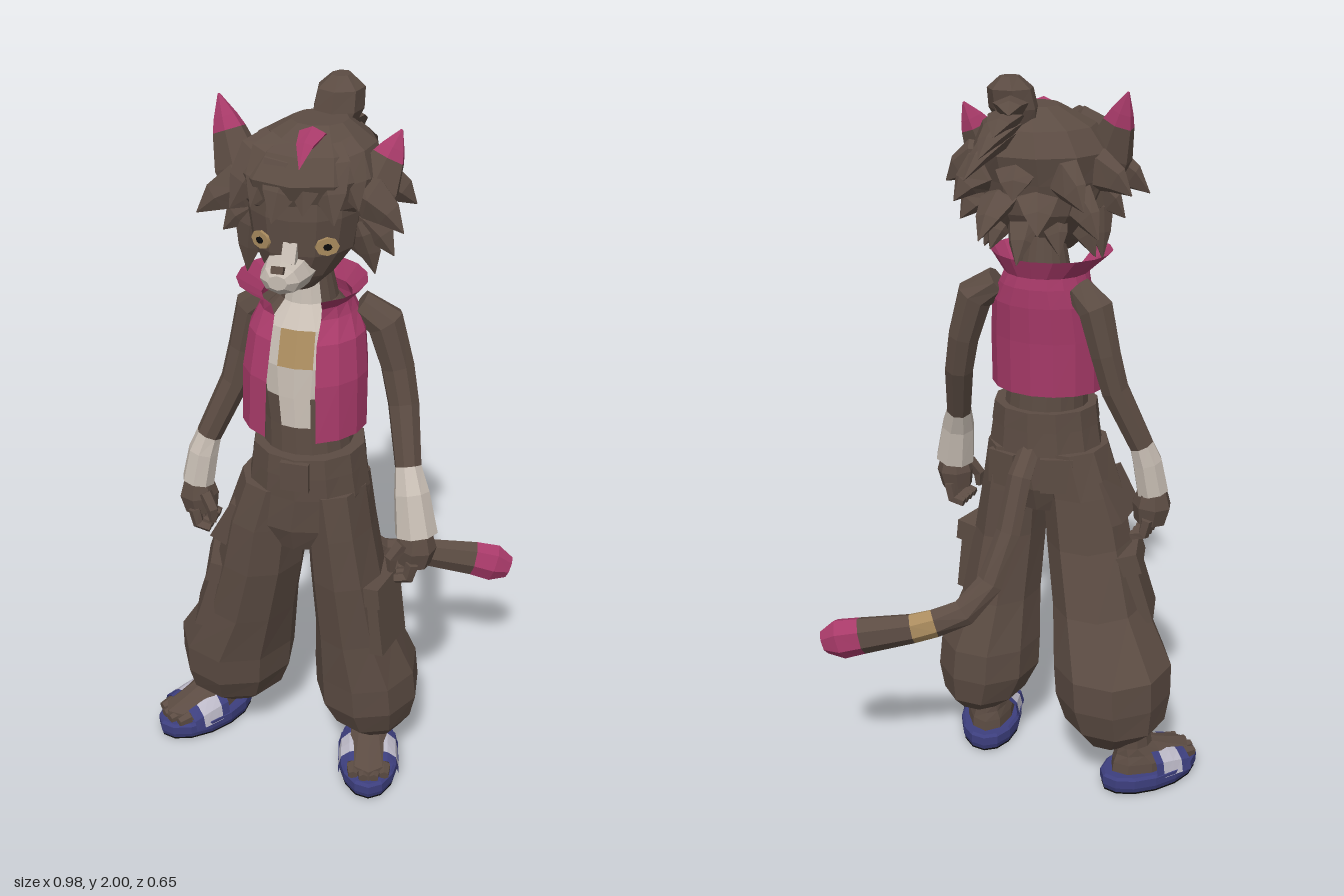
import * as THREE from 'three';

const V = (p) => new THREE.Vector3(...p);
function material(name, color, side = THREE.FrontSide) {
  const m = new THREE.MeshStandardMaterial({ color, side });
  m.name = name;
  return m;
}
const fur = material('brown', 0x5c4c43), cream = material('cream', 0xc6bcb2);
const gold = material('gold', 0xa98b5e), black = material('black', 0x0c0b0b);
const pink = material('pink', 0xa83a69, THREE.DoubleSide);
const blue = material('blue', 0x3d3f7e, THREE.DoubleSide);
const pale = material('pale', 0xbdbac8, THREE.DoubleSide);

function assembly(name, ...parts) {
  const g = new THREE.Group().add(...parts);
  g.name = name;
  return g;
}

// Faceted skin over a list of rings; paint is a rule (row, column) => material, or one material
function skin(name, rings, paint, open = false) {
  const lists = new Map(), n = rings[0].length, last = rings.length - 1;
  const tri = (i, j, ...corners) => {
    const m = typeof paint === 'function' ? paint(i, j) : paint;
    if (!lists.has(m)) lists.set(m, []);
    for (const p of corners) lists.get(m).push(p.x, p.y, p.z);
  };
  const centre = (r) => r.reduce((s, p) => s.add(p), V([0, 0, 0])).divideScalar(n);
  for (let j = 0; j < (open ? n - 1 : n); j++) {
    const k = (j + 1) % n;
    for (let i = 0; i < last; i++) {
      const r = rings[i], s = rings[i + 1];
      tri(i, j, r[j], r[k], s[k]);
      tri(i, j, r[j], s[k], s[j]);
    }
    if (open) continue;
    tri(0, j, centre(rings[0]), rings[0][k], rings[0][j]);
    tri(last - 1, j, centre(rings[last]), rings[last][j], rings[last][k]);
  }
  return assembly(name, ...[...lists].map(([m, list]) => {
    const g = new THREE.BufferGeometry();
    g.setAttribute('position', new THREE.Float32BufferAttribute(list, 3));
    g.computeVertexNormals();
    const mesh = new THREE.Mesh(g, m);
    mesh.name = `${name} ${m.name}`;
    return mesh;
  }));
}

// Horizontal ovals [y, x, z, rx, rz, gap], bottom to top; a gap leaves the front open
const oval = ([y, x, z, rx, rz, gap = 0], n, steps) => Array.from({ length: n }, (_, j) => {
  const a = gap + (j / steps) * 2 * (Math.PI - gap);
  return V([x + rx * Math.sin(a), y, z + rz * Math.cos(a)]);
});
const loft = (name, rows, n, paint) => skin(name, rows.map(r => oval(r, n, n)), paint);

// Tapering limb along points [x, y, z, radius]
function limb(name, pts, n, paint, flat = 1) {
  const p = pts.map(q => V(q.slice(0, 3))), last = p.length - 1;
  const whole = p[last].clone().sub(p[0]).normalize();
  const ref = Math.abs(whole.z) > 0.75 ? V([0, 1, 0]) : V([0, 0, 1]);
  return skin(name, p.map((c, i) => {
    const t = p[Math.min(i + 1, last)].clone().sub(p[Math.max(i - 1, 0)]).normalize();
    const b = t.clone().cross(ref).normalize(), u = b.clone().cross(t), r = pts[i][3];
    return Array.from({ length: n }, (_, j) => {
      const a = (j / n) * Math.PI * 2;
      return c.clone().addScaledVector(u, r * flat * Math.cos(a)).addScaledVector(b, r * Math.sin(a));
    });
  }), paint);
}

// Pointed lock of hair from a to b, bowed upward by lift
function lock(name, a, b, r, lift = 0.02, paint = fur) {
  const at = (t, k) => [...V(a).lerp(V(b), t).add(V([0, lift * 4 * t * (1 - t), 0])).toArray(), r * k];
  return limb(name, [at(0, 0.8), at(0.35, 1), at(0.7, 0.65), at(1, 0.02)], 5, paint, 0.55);
}

function block(name, size, pos, rot = [0, 0, 0], mat = fur) {
  const mesh = new THREE.Mesh(new THREE.BoxGeometry(...size), mat);
  mesh.name = name;
  mesh.position.set(...pos);
  mesh.rotation.set(...rot);
  return mesh;
}

// Arm with pale wrist, palm and curled fingers
function arm(name, pts) {
  const [x, y, z] = pts[pts.length - 1], s = Math.sign(x);
  const g = assembly(name, limb('arm', pts, 8, i => (i >= 4 ? cream : fur)),
    limb('palm', [[x, y + 0.01, z, 0.04], [x, y - 0.04, z, 0.055], [x - s * 0.005, y - 0.09, z, 0.045]], 7, fur, 0.95),
    limb('thumb', [[x - s * 0.03, y - 0.02, z + 0.03, 0.02], [x - s * 0.055, y - 0.06, z + 0.045, 0.018], [x - s * 0.055, y - 0.1, z + 0.045, 0.01]], 5, fur));
  for (let k = 0; k < 4; k++) {
    const fz = z + 0.04 - k * 0.027;
    g.add(limb('finger', [[x, y - 0.07, fz, 0.018], [x - s * 0.01, y - 0.115, fz, 0.018], [x - s * 0.045, y - 0.125, fz, 0.014]], 5, fur));
  }
  return g;
}

// Foot in a striped slide sandal, toes along local +z
function foot(name, x, z, turn) {
  const strap = [[-0.03, 0.088], [-0.005, 0.084], [0.03, 0.076], [0.06, 0.066], [0.09, 0.056]];
  const g = assembly(name,
    loft('sole underside', [[0, 0, 0, 0.085, 0.155], [0.005, 0, 0, 0.085, 0.155]], 14, black),
    loft('sole', [[0.005, 0, 0, 0.085, 0.155], [0.02, 0, 0, 0.09, 0.16], [0.045, 0, 0, 0.09, 0.16], [0.052, 0, 0, 0.082, 0.152]], 14, blue),
    loft('foot', [[0.045, 0, 0.005, 0.07, 0.135], [0.08, 0, 0.005, 0.068, 0.13], [0.105, 0, -0.025, 0.055, 0.09],
      [0.13, 0, -0.055, 0.045, 0.055], [0.2, 0, -0.06, 0.042, 0.045]], 10, fur),
    skin('strap', strap.map(([sz, h]) => Array.from({ length: 8 }, (_, j) => {
      const a = (j / 7) * Math.PI;
      return V([-0.088 * Math.cos(a), 0.035 + h * Math.abs(Math.sin(a)) ** 0.7, sz]);
    })), i => (i === 1 || i === 2 ? pale : blue), true));
  for (let k = -1.5; k < 2; k++) {
    g.add(limb('toe', [[k * 0.03, 0.065, 0.09, 0.02], [k * 0.03, 0.062, 0.145 - Math.abs(k) * 0.012, 0.014]], 6, fur));
  }
  g.position.set(x, 0, z);
  g.rotation.y = turn;
  return g;
}

function eye(s) {
  const g = assembly('eye');
  for (const [label, r, z, m] of [['iris', 0.03, 0, gold], ['pupil', 0.011, 0.003, black]]) {
    const disc = new THREE.Mesh(new THREE.CylinderGeometry(r, r, 0.008, 8), m);
    disc.name = label;
    disc.rotation.x = Math.PI / 2;
    disc.position.z = z;
    disc.scale.z = 0.75;
    g.add(disc);
  }
  g.position.set(-0.01 + s * 0.082, 1.66, 0.25);
  g.rotation.y = s * 0.5;
  return g;
}

function buildHead() {
  const g = assembly('head', eye(-1), eye(1),
    loft('face', [[1.53, -0.02, 0.18, 0.045, 0.05], [1.57, -0.02, 0.16, 0.09, 0.09], [1.63, -0.015, 0.135, 0.13, 0.13],
      [1.72, -0.015, 0.125, 0.145, 0.145], [1.8, -0.015, 0.12, 0.14, 0.14], [1.87, -0.015, 0.11, 0.08, 0.09]], 14, fur),
    limb('muzzle', [[-0.025, 1.59, 0.2, 0.07], [-0.028, 1.587, 0.26, 0.062], [-0.03, 1.585, 0.305, 0.05], [-0.03, 1.585, 0.325, 0.025]], 8, cream, 0.75),
    block('nose bridge', [0.035, 0.05, 0.04], [-0.015, 1.635, 0.26], [-0.5, 0, 0], cream),
    block('nose', [0.03, 0.018, 0.02], [-0.03, 1.615, 0.317], [-0.4, 0, 0]),
    loft('hair', [[1.6, -0.015, 0.06, 0.1, 0.08], [1.66, -0.015, 0.065, 0.145, 0.12], [1.74, -0.015, 0.095, 0.175, 0.165],
      [1.81, -0.01, 0.1, 0.185, 0.185], [1.87, 0, 0.1, 0.15, 0.15], [1.92, 0.01, 0.09, 0.07, 0.07]], 11, fur),
    loft('top knot', [[1.87, 0.02, 0.02, 0.05, 0.05], [1.92, 0.03, 0.005, 0.065, 0.06], [1.97, 0.035, -0.005, 0.06, 0.06], [2, 0.035, -0.01, 0.025, 0.03]], 7, fur),
    lock('pink tuft', [0.02, 1.88, 0.13], [0.01, 1.85, 0.27], 0.035, 0.04, pink),
    lock('left sidelock', [0.12, 1.69, 0.14], [0.16, 1.55, 0.13], 0.045),
    lock('right sidelock', [-0.14, 1.7, 0.14], [-0.17, 1.52, 0.13], 0.045));
  // Ears with pink tips
  for (const [bx, tx, ty] of [[-0.155, -0.24, 1.96], [0.135, 0.212, 1.91]]) {
    const p = (t, r) => [bx + (tx - bx) * t, 1.73 + (ty - 1.73) * t, 0.15 - 0.05 * t, r];
    g.add(limb('ear', [p(0, 0.055), p(0.3, 0.068), p(0.65, 0.045), p(0.78, 0.032), p(1, 0.003)], 6, i => (i >= 2 ? pink : fur), 0.6));
  }
  // Tiers of locks: count, half arc, middle angle, base y and radius, tip y and radii, thickness
  for (const [n, arc, mid, by, br, ty, rx, rz, r] of [[6, 0.9, 0, 1.87, 0.09, 1.72, 0.21, 0.195, 0.065],
    [7, 2, Math.PI, 1.77, 0.13, 1.69, 0.285, 0.23, 0.058], [6, 1.75, Math.PI, 1.71, 0.11, 1.61, 0.23, 0.265, 0.055],
    [5, 1.4, Math.PI, 1.66, 0.08, 1.54, 0.16, 0.19, 0.05]]) {
    for (let i = 0; i < n; i++) {
      const a = mid - arc + (2 * arc * i) / (n - 1), k = i % 2 ? 0.93 : 1;
      g.add(lock('hair lock', [br * Math.sin(a), by, 0.1 + br * Math.cos(a)],
        [k * rx * Math.sin(a) - 0.015, ty + (1 - k) * 0.3, 0.1 + k * rz * Math.cos(a)], r));
    }
  }
  for (let k = 0; k < 4; k++) g.add(lock('knot tail', [0.03, 1.91 - k * 0.015, -0.01], [-0.03 + k * 0.04, 1.93 - k * 0.055, -0.175], 0.047));
  return g;
}

function buildTorso() {
  // Open vest with a flared collar
  const vest = [[1.15, -0.01, 0.17, 0.163, 0.148, 0.42], [1.3, -0.01, 0.16, 0.162, 0.145, 0.4], [1.4, -0.01, 0.14, 0.15, 0.135, 0.4],
    [1.45, -0.012, 0.12, 0.125, 0.115, 0.5], [1.48, -0.015, 0.125, 0.115, 0.115, 0.6], [1.53, -0.02, 0.15, 0.165, 0.16, 0.55]];
  return assembly('torso', skin('vest', vest.map(r => oval(r, 15, 14)), pink, true),
    loft('body', [[1.06, 0, 0.165, 0.12, 0.115], [1.17, -0.005, 0.165, 0.112, 0.11], [1.25, -0.01, 0.155, 0.12, 0.115], [1.33, -0.01, 0.145, 0.135, 0.118],
      [1.42, -0.01, 0.125, 0.13, 0.105], [1.47, -0.015, 0.105, 0.075, 0.075], [1.58, -0.015, 0.11, 0.052, 0.055]], 18, (i, j) => {
      const d = Math.min(j, 17 - j);
      if (i === 3 && d < 1) return gold;
      return i >= 1 && d < Math.min(i, 2) ? cream : fur;
    }));
}

function buildTrousers() {
  const g = assembly('trousers',
    loft('hips', [[0.8, -0.015, 0.165, 0.11, 0.11], [0.87, -0.015, 0.165, 0.175, 0.135], [0.97, 0, 0.165, 0.165, 0.14], [1.09, 0.002, 0.17, 0.145, 0.138]], 12, fur),
    loft('waistband', [[1.04, 0.002, 0.17, 0.155, 0.143], [1.095, 0.002, 0.17, 0.147, 0.14]], 12, fur),
    block('buckle', [0.075, 0.08, 0.015], [0.003, 1.05, 0.312]),
    loft('left leg', [[0.125, 0.18, 0.1, 0.07, 0.08], [0.18, 0.165, 0.1, 0.12, 0.14], [0.26, 0.155, 0.11, 0.148, 0.165], [0.35, 0.15, 0.115, 0.145, 0.165],
      [0.5, 0.125, 0.14, 0.112, 0.145], [0.7, 0.105, 0.165, 0.1, 0.135], [0.85, 0.088, 0.165, 0.09, 0.135], [0.98, 0.07, 0.165, 0.09, 0.13]], 9, fur),
    loft('right leg', [[0.125, -0.255, 0.05, 0.075, 0.085], [0.19, -0.26, 0.06, 0.145, 0.15], [0.27, -0.25, 0.07, 0.165, 0.18], [0.36, -0.245, 0.075, 0.168, 0.185],
      [0.52, -0.185, 0.12, 0.13, 0.155], [0.7, -0.14, 0.155, 0.12, 0.14], [0.85, -0.115, 0.165, 0.11, 0.135], [0.98, -0.08, 0.165, 0.1, 0.13]], 9, fur),
    block('hip pocket', [0.05, 0.13, 0.16], [-0.205, 0.83, 0.17], [0, 0, -0.5]));
  // Cargo pockets with flaps, and back pockets
  for (const [x, y, z, turn, tilt] of [[0.205, 0.58, 0.18, -0.2, 0.12], [-0.275, 0.57, 0.17, 0.25, -0.3]]) {
    const pocket = assembly('cargo pocket', block('pouch', [0.06, 0.2, 0.15], [0, 0, 0]), block('flap', [0.085, 0.06, 0.17], [0, 0.09, 0]));
    pocket.position.set(x, y, z);
    pocket.rotation.set(0, turn, tilt);
    g.add(pocket);
  }
  for (const x of [-0.08, 0.08]) g.add(block('back pocket', [0.09, 0.1, 0.02], [x, 0.92, 0.04], [0, -x * 4, 0]));
  return g;
}

export function createModel() {
  return assembly('cat figure', buildHead(), buildTorso(), buildTrousers(),
    arm('left arm', [[0.11, 1.445, 0.085, 0.04], [0.175, 1.4, 0.075, 0.052], [0.21, 1.28, 0.075, 0.045], [0.232, 1.18, 0.09, 0.042],
      [0.262, 1.03, 0.15, 0.036], [0.28, 0.97, 0.18, 0.048], [0.3, 0.86, 0.2, 0.058]]),
    arm('right arm', [[-0.12, 1.445, 0.085, 0.04], [-0.175, 1.4, 0.07, 0.05], [-0.205, 1.28, 0.07, 0.043], [-0.23, 1.18, 0.08, 0.04],
      [-0.3, 1.02, 0.11, 0.035], [-0.315, 0.97, 0.12, 0.042], [-0.33, 0.88, 0.13, 0.045]]),
    foot('left foot', 0.17, 0.155, 0.25), foot('right foot', -0.362, 0.08, -0.64),
    // Tail with a gold band and a flared pink tip
    limb('tail', [[0, 1, 0.06, 0.03], [0.01, 0.92, -0.005, 0.035], [0.025, 0.77, -0.05, 0.036], [0.06, 0.63, -0.1, 0.038], [0.12, 0.55, -0.15, 0.04],
      [0.19, 0.525, -0.195, 0.042], [0.245, 0.512, -0.225, 0.044], [0.38, 0.485, -0.27, 0.055], [0.44, 0.47, -0.285, 0.06], [0.485, 0.455, -0.295, 0.035]],
    7, i => (i === 5 ? gold : i >= 7 ? pink : fur), 0.75));
}
